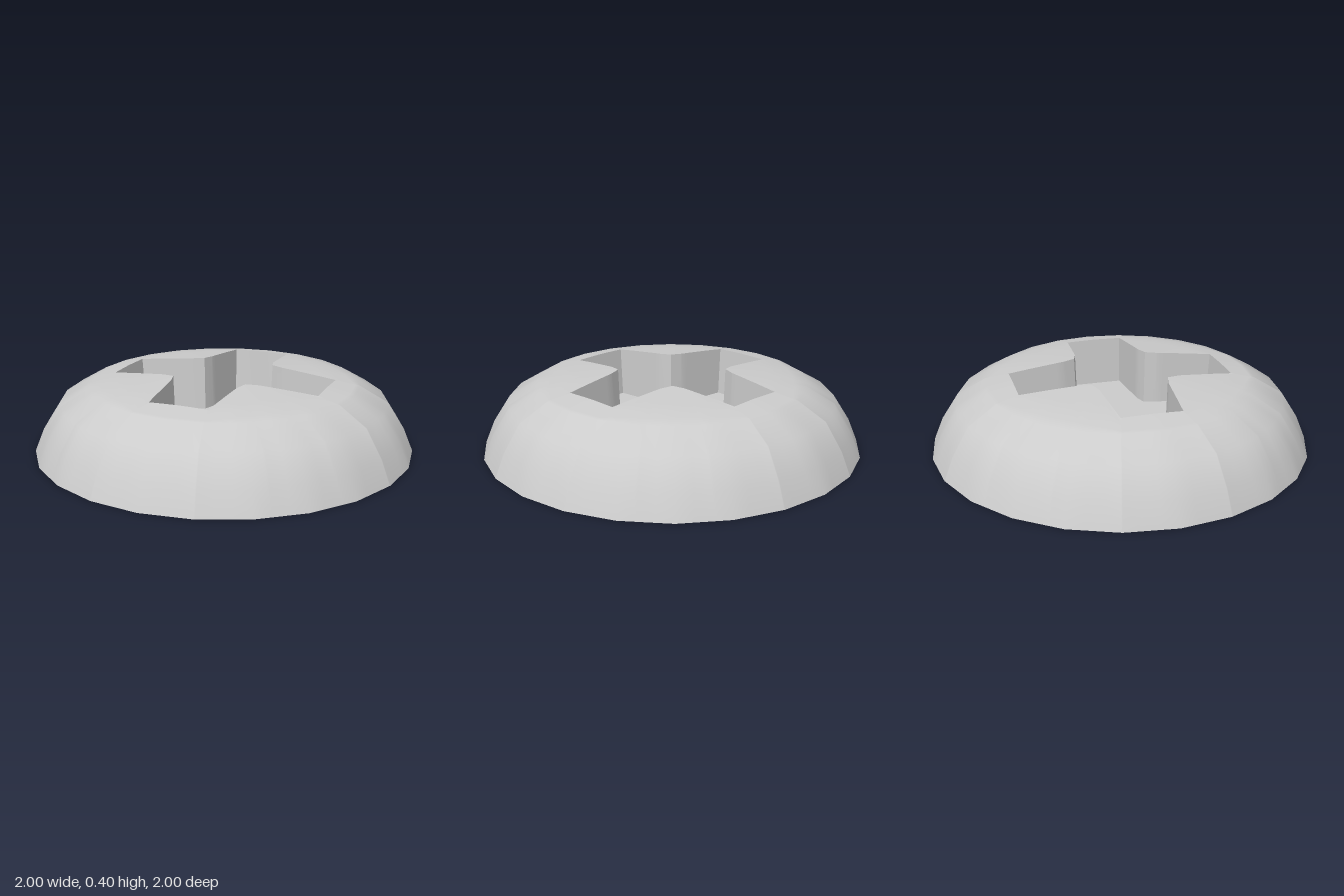
import * as THREE from 'three';
import { toCreasedNormals } from 'three/addons/utils/BufferGeometryUtils.js';

const SIDES = 24;
const FLOOR_Y = 0.11;

// Dome profile: [radius, height]
const PROFILE = [[0, 0.405], [0.27, 0.403], [0.57, 0.373], [0.71, 0.346], [0.86, 0.26], [0.95, 0.12], [1, 0]];

// One quarter of the cross outline, from the middle of one arm tip to the next
const QUARTER = [[0.565, 0], [0.565, 0.155], [0.265, 0.18], [0.2, 0.2], [0.18, 0.265], [0.155, 0.565], [0, 0.565]];

function domeHeight(r) {
  const i = Math.max(1, PROFILE.findIndex((p) => p[0] >= r - 1e-6));
  const [r0, y0] = PROFILE[i - 1], [r1, y1] = PROFILE[i];
  return y0 + (y1 - y0) * (r - r0) / (r1 - r0);
}

// Radius of a unit regular polygon at an angle
function polygonRadius(a) {
  const step = 2 * Math.PI / SIDES;
  const k = Math.floor(a / step + 1e-6);
  return Math.cos(step / 2) / Math.cos(a - (k + 0.5) * step);
}

// Radius of the cross outline at an angle
function crossRadius(a) {
  const q = a - Math.floor(a / (Math.PI / 2) + 1e-6) * Math.PI / 2;
  let i = 1;
  while (i < QUARTER.length - 1 && Math.atan2(QUARTER[i][1], QUARTER[i][0]) < q - 1e-6) i++;
  const [x0, z0] = QUARTER[i - 1], [x1, z1] = QUARTER[i];
  const dx = x1 - x0, dz = z1 - z0;
  return (x0 * dz - z0 * dx) / (Math.cos(q) * dz - Math.sin(q) * dx);
}

// Angles at every 5 degrees plus the corners of the cross
function columnAngles() {
  const angles = [];
  for (let k = 0; k < 4; k++) {
    for (let d = 0; d < 90; d += 5) angles.push(k * Math.PI / 2 + d * Math.PI / 180);
    for (const i of [1, 2, 4, 5]) angles.push(k * Math.PI / 2 + Math.atan2(QUARTER[i][1], QUARTER[i][0]));
  }
  return angles.sort((a, b) => a - b);
}

// Joins closed rings; each row maps an angle to [radius, height]
function loft(rows, angles) {
  const n = angles.length, pos = [], idx = [];
  for (const row of rows) {
    for (const a of angles) {
      const [r, y] = row(a);
      pos.push(r * Math.cos(a), y, r * Math.sin(a));
    }
  }
  for (let i = 0; i < rows.length - 1; i++) {
    for (let j = 0; j < n; j++) {
      const k = (j + 1) % n, a = i * n, b = a + n;
      idx.push(a + j, a + k, b + j, a + k, b + k, b + j);
    }
  }
  const geo = new THREE.BufferGeometry();
  geo.setAttribute('position', new THREE.Float32BufferAttribute(pos, 3));
  geo.setIndex(idx);
  geo.computeVertexNormals();
  return geo;
}

export function createModel() {
  const group = new THREE.Group();
  group.name = 'screwHead';
  const material = new THREE.MeshStandardMaterial({ color: 0xcccccc });
  const angles = columnAngles();
  const add = (name, geo) => {
    const mesh = new THREE.Mesh(geo, material);
    mesh.name = name;
    group.add(mesh);
  };

  // Dome: blends from the cross outline to a ring, then follows the profile to the rim
  const rows = [];
  for (let s = 0; s <= 6; s++) {
    rows.push((a) => {
      const p = polygonRadius(a);
      const r = THREE.MathUtils.lerp(crossRadius(a), 0.71 * p, s / 6);
      return [r, domeHeight(r / p)];
    });
  }
  for (const [r, y] of PROFILE.slice(4)) rows.push((a) => [r * polygonRadius(a), y]);
  add('dome', loft(rows, angles));

  // Recess walls with a slight draft
  const floorRow = (a) => [crossRadius(a) * 0.965, FLOOR_Y];
  const edgeRow = (a) => [crossRadius(a), domeHeight(crossRadius(a) / polygonRadius(a))];
  add('recessWalls', toCreasedNormals(loft([floorRow, edgeRow], angles), 0.4));

  // Recess floor
  add('recessFloor', loft([() => [0, FLOOR_Y], floorRow], angles));

  // Flat underside
  add('underside', new THREE.CircleGeometry(1, SIDES).rotateX(Math.PI / 2));

  group.rotation.y = 0.009;
  return group;
}
